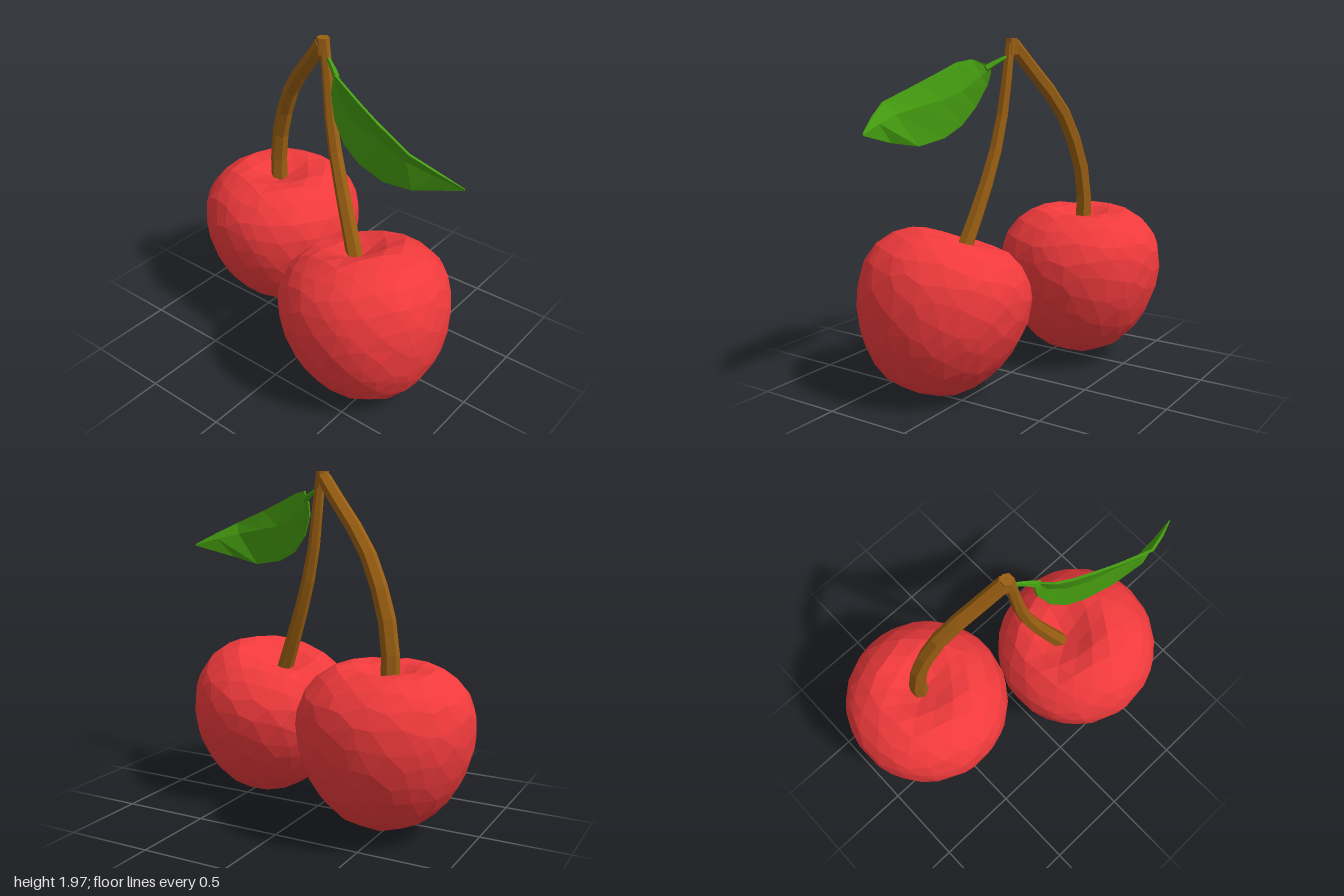
import * as THREE from 'three';

const V = (x, y, z) => new THREE.Vector3(x, y, z);
const mat = (color) => new THREE.MeshStandardMaterial({ color, flatShading: true, roughness: 0.8 });

// Skin a list of rings (counter-clockwise about the sweep direction) and cap both ends
function loft(rings) {
  const n = rings[0].length, pos = [];
  const tri = (...pts) => pts.forEach((p) => pos.push(p.x, p.y, p.z));
  for (let i = 0; i < rings.length - 1; i++) {
    for (let j = 0; j < n; j++) {
      const k = (j + 1) % n;
      const a = rings[i][j], b = rings[i][k], c = rings[i + 1][k], d = rings[i + 1][j];
      tri(a, b, c);
      tri(a, c, d);
    }
  }
  const first = rings[0], last = rings[rings.length - 1];
  for (let j = 1; j < n - 1; j++) {
    tri(first[0], first[j + 1], first[j]);
    tri(last[0], last[j], last[j + 1]);
  }
  const g = new THREE.BufferGeometry();
  g.setAttribute('position', new THREE.Float32BufferAttribute(pos, 3));
  g.computeVertexNormals();
  return g;
}

// Tapered faceted stalk along a smooth path
function stalk(points, r0, r1, sides, segments) {
  const curve = new THREE.CatmullRomCurve3(points);
  const { normals, binormals } = curve.computeFrenetFrames(segments);
  const rings = [];
  for (let i = 0; i <= segments; i++) {
    const centre = curve.getPointAt(i / segments);
    const r = THREE.MathUtils.lerp(r0, r1, i / segments);
    rings.push(Array.from({ length: sides }, (_, j) => {
      const a = (j / sides) * Math.PI * 2;
      return centre.clone()
        .addScaledVector(normals[i], r * Math.cos(a))
        .addScaledVector(binormals[i], r * Math.sin(a));
    }));
  }
  return loft(rings);
}

// Faceted ball whose vertices are moved onto a profile with a dimple at each end
function cherryGeometry() {
  const profile = new THREE.CatmullRomCurve3([
    [0, 0.35], [0.1, 0.38], [0.24, 0.43], [0.38, 0.36], [0.465, 0.25], [0.49, 0.1],
    [0.46, -0.08], [0.36, -0.28], [0.19, -0.43], [0.1, -0.41], [0, -0.38],
  ].map(([r, y]) => V(r, y, 0)));
  const g = new THREE.IcosahedronGeometry(1, 4);
  g.rotateZ(-Math.atan2(1, (1 + Math.sqrt(5)) / 2)); // put a corner on the axis
  const p = g.attributes.position, v = V(0, 0, 0);
  for (let i = 0; i < p.count; i++) {
    v.fromBufferAttribute(p, i);
    // slide the corners along the skin for uneven facets
    const rim = 1 - v.y * v.y;
    const polar = Math.acos(THREE.MathUtils.clamp(v.y, -1, 1))
      + 0.05 * rim * Math.sin(17 * v.x + 11 * v.z + 7 * v.y);
    const turn = Math.atan2(v.z, v.x) + 0.06 * rim * Math.sin(13 * v.y + 15 * v.x - 9 * v.z);
    const q = profile.getPointAt(THREE.MathUtils.clamp(polar / Math.PI, 0, 1));
    p.setXYZ(i, q.x * Math.cos(turn), q.y, q.x * Math.sin(turn));
  }
  g.computeVertexNormals();
  return g;
}

// Blade from cross-sections: top edge, midrib, bottom edge
function leafGeometry() {
  const t = 0.016;
  const sections = [
    [[0.115, 1.84, 0.075], [0.108, 1.82, 0.075], [0.1, 1.8, 0.075]],
    [[0.17, 1.87, 0.15], [0.15, 1.78, 0.11], [0.105, 1.73, 0.095]],
    [[0.25, 1.855, 0.19], [0.26, 1.7, 0.16], [0.16, 1.61, 0.135]],
    [[0.38, 1.8, 0.225], [0.38, 1.66, 0.195], [0.25, 1.51, 0.17]],
    [[0.52, 1.745, 0.26], [0.52, 1.635, 0.225], [0.37, 1.45, 0.2]],
    [[0.74, 1.665, 0.305], [0.7, 1.6, 0.265], [0.55, 1.42, 0.235]],
    [[0.87, 1.6, 0.265], [0.85, 1.565, 0.245], [0.74, 1.455, 0.265]],
    [[1, 1.53, 0.215], [1, 1.525, 0.213], [1, 1.52, 0.212]],
  ];
  return loft(sections.map((s, i) => {
    const d = i === sections.length - 1 ? 0.003 : t / 2;
    const [u, m, l] = s.map((c) => V(...c));
    const shift = (p, z) => p.clone().add(V(0, 0, z));
    return [shift(u, d), shift(m, d), shift(l, d), shift(l, -d), shift(m, -d), shift(u, -d)];
  }));
}

export function createModel() {
  const model = new THREE.Group();
  const red = mat(0xf03a3c), brown = mat(0x9a5f12), green = mat(0x459c10);
  const add = (name, geometry, material) => {
    const mesh = new THREE.Mesh(geometry, material);
    mesh.name = name;
    model.add(mesh);
    return mesh;
  };

  // Fruit
  const fruit = cherryGeometry();
  add('rightCherry', fruit, red).position.set(-0.51, 0.53, -0.18);
  const left = add('leftCherry', fruit, red);
  left.position.set(0.435, 0.48, 0.19);
  left.quaternion.setFromUnitVectors(V(0, 1, 0), V(-0.28, 0.95, -0.13).normalize());

  // Stems, joined at the top
  add('rightStem', stalk([
    V(-0.535, 0.84, -0.185), V(-0.53, 1.1, -0.185), V(-0.47, 1.33, -0.165),
    V(-0.35, 1.58, -0.12), V(-0.17, 1.79, -0.05), V(-0.03, 1.95, 0.005),
  ], 0.052, 0.042, 6, 7), brown);
  add('leftStem', stalk([
    V(0.3, 0.8, 0.13), V(0.18, 1.1, 0.08), V(0.1, 1.33, 0.05),
    V(0.055, 1.5, 0.035), V(0.02, 1.73, 0.02), V(-0.01, 1.96, 0.012),
  ], 0.048, 0.028, 6, 6), brown);
  add('stemKnot', new THREE.CylinderGeometry(0.036, 0.04, 0.09, 6), brown)
    .position.set(-0.022, 1.94, 0.01);

  // Leaf and its stalk
  add('leafStalk', stalk([V(0, 1.89, 0.01), V(0.06, 1.862, 0.042), V(0.13, 1.82, 0.085)],
    0.009, 0.02, 5, 3), green);
  add('leaf', leafGeometry(), green);

  return model;
}
